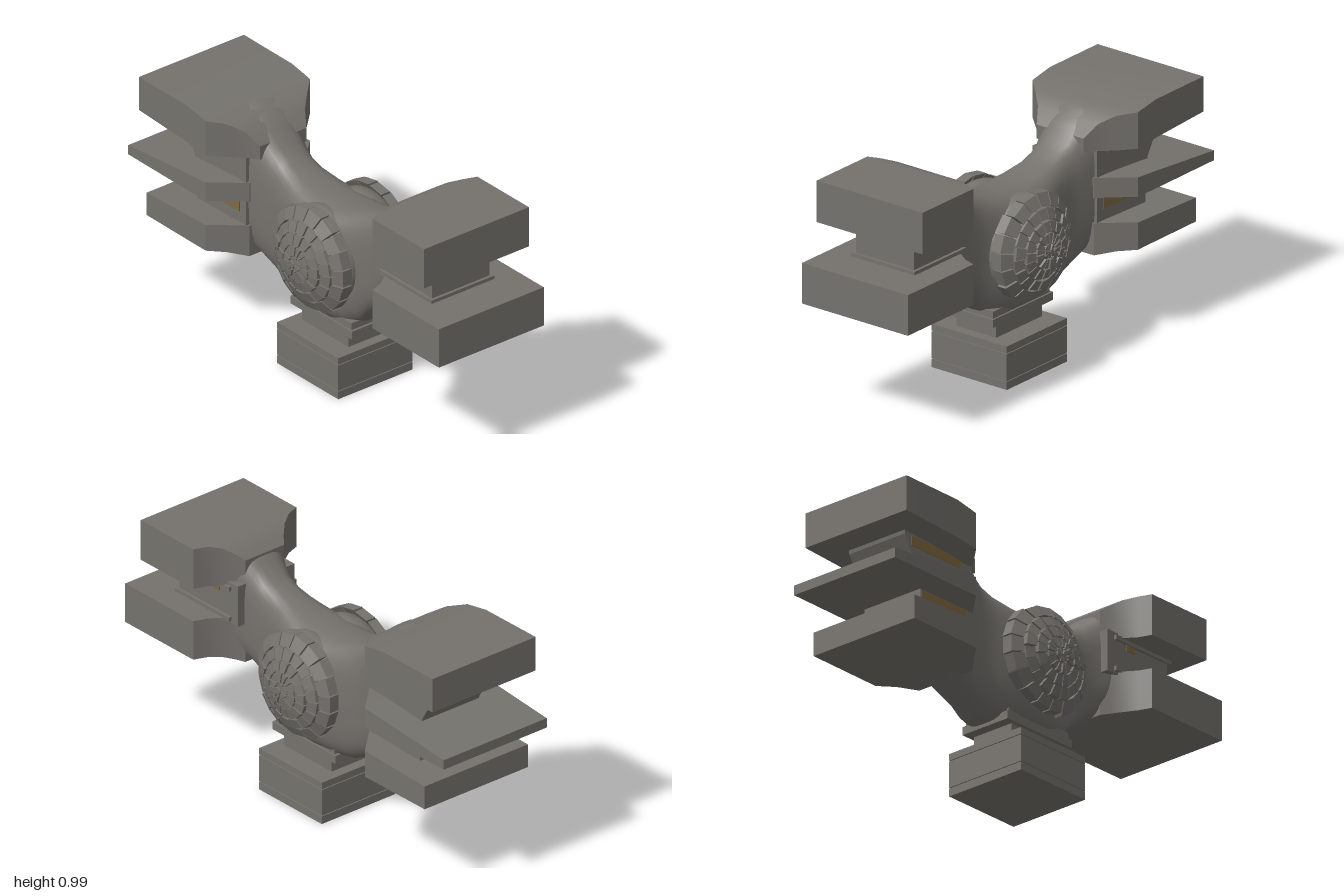
import * as THREE from 'three';
import { toCreasedNormals } from 'three/addons/utils/BufferGeometryUtils.js';

const stone = new THREE.MeshStandardMaterial({ color: 0x75726d });
stone.name = 'grey stone';
const ochre = new THREE.MeshStandardMaterial({ color: 0x806a40 });
ochre.name = 'dull ochre';

function add(parent, name, geometry, material = stone) {
  const mesh = new THREE.Mesh(geometry, material);
  mesh.name = name;
  parent.add(mesh);
  return mesh;
}

// Box given by its half width, length range and height range
function block(parent, name, half, z0, z1, y0, y1) {
  const mesh = add(parent, name, new THREE.BoxGeometry(half * 2, y1 - y0, z1 - z0));
  mesh.position.set(0, (y0 + y1) / 2, (z0 + z1) / 2);
  return mesh;
}

// Joins cross-sections along z; each row is [z, half width, bottom, top]
function loft(rows, section, crease) {
  const n = section.length, pos = [], idx = [];
  for (const [z, half, y0, y1] of rows) {
    for (const [sx, sy] of section) {
      pos.push(sx * half, (y0 + y1) / 2 + sy * (y1 - y0) / 2, z);
    }
  }
  for (let i = 0; i < rows.length - 1; i++) {
    for (let j = 0; j < n; j++) {
      const k = (j + 1) % n;
      const a = i * n + j, b = i * n + k, c = b + n, d = a + n;
      idx.push(a, b, c, a, c, d);
    }
  }
  const e = (rows.length - 1) * n;
  for (let j = 1; j < n - 1; j++) idx.push(0, j + 1, j, e, e + j, e + j + 1);
  const g = new THREE.BufferGeometry();
  g.setAttribute('position', new THREE.Float32BufferAttribute(pos, 3));
  g.setIndex(idx);
  return toCreasedNormals(g, crease);
}

const square = [[1, -1], [1, 1], [-1, 1], [-1, -1]];
const rounded = [];
for (let i = 0; i < 36; i++) {
  const a = i / 36 * Math.PI * 2, c = Math.cos(a), s = Math.sin(a);
  rounded.push([Math.sign(c) * Math.abs(c) ** 0.6, Math.sign(s) * Math.abs(s) ** 0.6]);
}

// Shallow dome of raised tiles in rings, bulging toward +z
function tiledDome() {
  const dome = new THREE.Group();
  dome.name = 'tiledDome';
  const core = add(dome, 'domeCore', new THREE.SphereGeometry(0.212, 32, 16));
  core.scale.z = 0.64;
  core.position.z = 0.1;
  let seed = 7;
  const rand = () => (seed = (seed * 16807) % 2147483647) / 2147483647;
  const rings = [[0.004, 0.03, 8], [0.036, 0.074, 16], [0.081, 0.122, 16], [0.129, 0.17, 18], [0.177, 0.222, 18]];
  rings.forEach(([r0, r1, count], ring) => {
    for (let i = 0; i < count; i++) {
      const outer = r1 + (ring === 4 ? 0.014 * (rand() - 0.5) : 0);
      const lift = 0.01 * (rand() - 0.5);
      const mid = (i + 0.5 * (ring % 2)) / count * Math.PI * 2;
      const g = new THREE.BoxGeometry(1, 1, 1);
      const p = g.attributes.position;
      for (let v = 0; v < p.count; v++) {
        const r = p.getX(v) < 0 ? r0 : outer;
        const t = mid + p.getY(v) * (Math.PI * 2 / count - Math.min(0.006 / r, 0.2));
        const top = 0.25 - 0.07 * (r / 0.22) ** 2 + lift;
        p.setXYZ(v, r * Math.cos(t), r * Math.sin(t), p.getZ(v) > 0 ? top : top - 0.045);
      }
      const flat = g.toNonIndexed();
      flat.computeVertexNormals();
      add(dome, 'domeTile', flat);
    }
  });
  return dome;
}

export function createModel() {
  const model = new THREE.Group();
  model.name = 'bracketSupport';
  const turned = new THREE.Group();
  turned.name = 'turnedBracket';
  turned.rotation.y = 0.367;
  model.add(turned);

  // Saddle-shaped waist
  add(turned, 'waist', loft([
    [-0.54, 0.14, 0.39, 0.975], [-0.46, 0.145, 0.38, 0.97], [-0.4, 0.14, 0.365, 0.945],
    [-0.35, 0.13, 0.345, 0.9], [-0.3, 0.118, 0.318, 0.85], [-0.25, 0.113, 0.295, 0.815],
    [-0.19, 0.125, 0.265, 0.787], [-0.1, 0.148, 0.255, 0.766], [0, 0.16, 0.255, 0.758],
    [0.1, 0.158, 0.255, 0.762], [0.18, 0.135, 0.265, 0.778], [0.24, 0.112, 0.3, 0.795],
    [0.3, 0.1, 0.37, 0.812], [0.36, 0.1, 0.42, 0.838], [0.41, 0.11, 0.45, 0.885],
    [0.45, 0.125, 0.465, 0.93], [0.5, 0.14, 0.478, 0.965], [0.56, 0.14, 0.485, 0.97],
  ], rounded, 0.8));

  // Front arm: two thick tiers with a recessed block between
  const tier = (end, y0, y1, rise, drop) => [
    [0.43, 0.1, y0 - drop, y1 - rise], [0.46, 0.125, y0 - drop * 0.6, y1 - rise * 0.6],
    [0.495, 0.16, y0 - drop * 0.2, y1 - rise * 0.2], [0.53, 0.212, y0, y1],
    [0.55, 0.268, y0, y1], [end, 0.268, y0, y1],
  ];
  add(turned, 'frontUpperTier', loft(tier(0.87, 0.8, 0.977, 0.06, 0), square, 0.4));
  add(turned, 'frontLowerTier', loft(tier(0.962, 0.482, 0.655, 0, 0.02), square, 0.4));
  block(turned, 'frontSpacer', 0.147, 0.42, 0.773, 0.64, 0.82);
  block(turned, 'frontSpacerFoot', 0.16, 0.46, 0.786, 0.65, 0.67);
  block(turned, 'frontSpacerHead', 0.16, 0.46, 0.786, 0.785, 0.805);

  // Rear arm: three tiers around a sloped core
  add(turned, 'rearUpperTier', loft([
    [-0.9, 0.268, 0.842, 0.992], [-0.6, 0.268, 0.826, 0.99], [-0.488, 0.267, 0.815, 0.97],
    [-0.43, 0.205, 0.81, 0.958], [-0.38, 0.152, 0.81, 0.925], [-0.33, 0.118, 0.81, 0.87],
  ], square, 0.4));
  add(turned, 'rearMiddleTier', loft([
    [-0.967, 0.268, 0.613, 0.655], [-0.6, 0.268, 0.61, 0.685], [-0.488, 0.267, 0.61, 0.692],
    [-0.43, 0.205, 0.61, 0.695], [-0.37, 0.14, 0.61, 0.695],
  ], square, 0.4));
  add(turned, 'rearLowerTier', loft([
    [-0.852, 0.268, 0.388, 0.49], [-0.488, 0.267, 0.384, 0.5],
    [-0.43, 0.205, 0.38, 0.502], [-0.37, 0.14, 0.365, 0.502],
  ], square, 0.4));
  const profile = new THREE.Shape([
    [-0.38, 0.45], [-0.38, 0.85], [-0.78, 0.85], [-0.775, 0.82], [-0.7, 0.69], [-0.685, 0.64], [-0.685, 0.45],
  ].map(([z, y]) => new THREE.Vector2(z, y)));
  const core = new THREE.ExtrudeGeometry(profile, { depth: 0.296, bevelEnabled: false });
  core.translate(0, 0, -0.148);
  core.rotateY(-Math.PI / 2);
  add(turned, 'rearCore', core);

  // Ochre patches on the recessed sides, and the domes on both flanks
  for (const side of [-1, 1]) {
    for (const [z0, z1, y0, y1] of [[-0.74, -0.45, 0.78, 0.822], [-0.68, -0.42, 0.55, 0.606], [0.53, 0.58, 0.76, 0.785]]) {
      const patch = add(turned, 'ochrePatch', new THREE.BoxGeometry(0.006, y1 - y0, z1 - z0), ochre);
      patch.position.set(side * 0.148, (y0 + y1) / 2, (z0 + z1) / 2);
    }
    const dome = tiledDome();
    dome.position.set(0, 0.543, 0.042);
    dome.rotation.y = side * Math.PI / 2;
    turned.add(dome);
  }

  // Foot: collar, neck and a grooved square base
  block(turned, 'collar', 0.12, -0.138, 0.242, 0.245, 0.28);
  block(turned, 'collarTop', 0.112, -0.125, 0.23, 0.275, 0.31);
  block(turned, 'footNeck', 0.1, -0.093, 0.197, 0.17, 0.25);
  block(turned, 'baseCore', 0.185, -0.133, 0.237, 0.01, 0.18);
  for (const [y0, y1] of [[0, 0.034], [0.038, 0.152], [0.156, 0.185]]) {
    block(turned, 'baseBand', 0.19, -0.138, 0.242, y0, y1);
  }
  return model;
}
